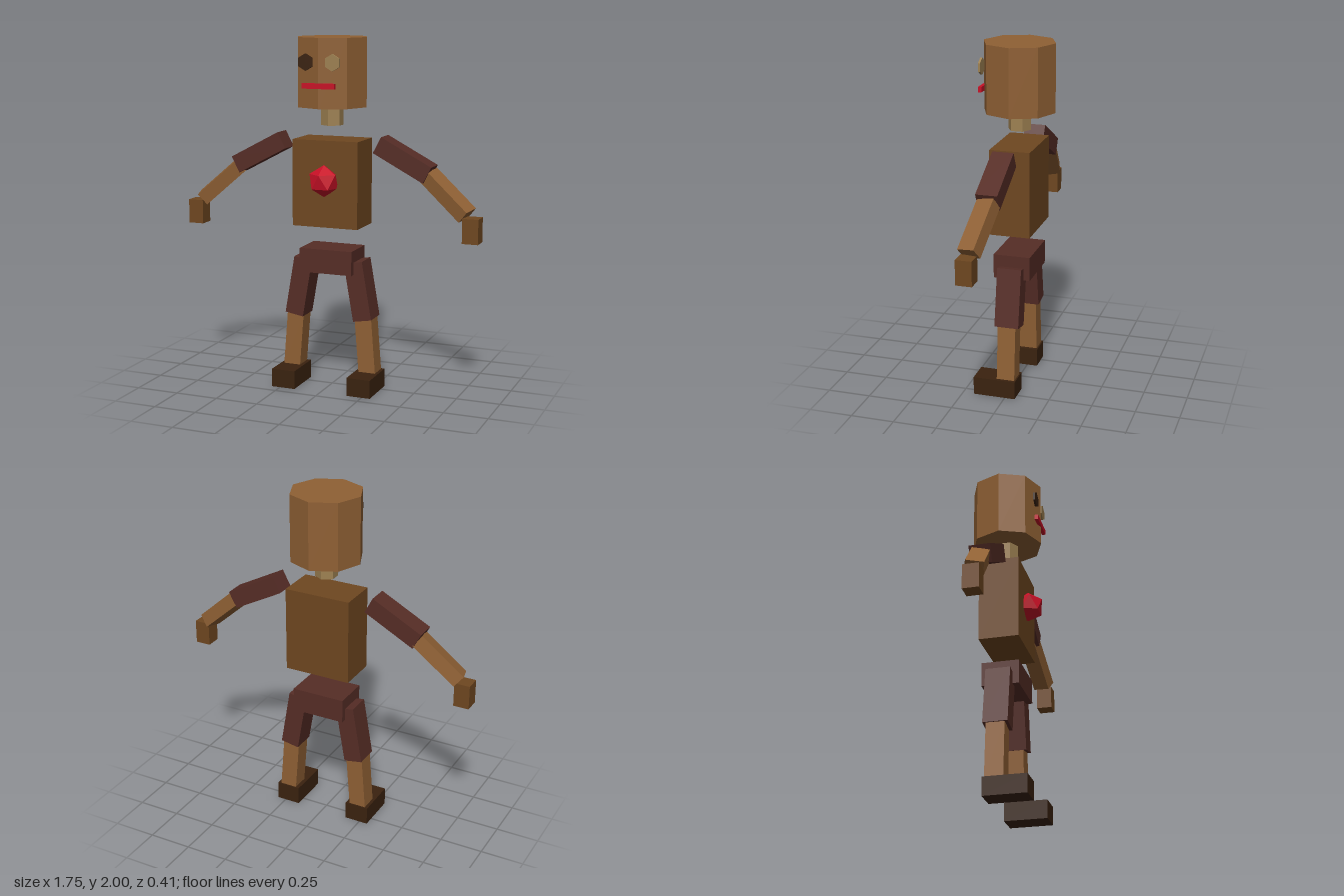
import * as THREE from 'three';

const paint = (name, color) => {
  const m = new THREE.MeshStandardMaterial({ color, flatShading: true });
  m.name = name;
  return m;
};

export function createModel() {
  const group = new THREE.Group();
  group.name = 'woodenPuppet';

  const wood = paint('light wood', 0x8f6034);
  const midWood = paint('mid wood', 0x6f4720);
  const darkWood = paint('dark wood', 0x3a220f);
  const paleWood = paint('pale wood', 0x9e8152);
  const maroon = paint('maroon', 0x562d26);
  const red = paint('red', 0xc81026);

  const add = (name, geometry, material, x, y, z) => {
    const mesh = new THREE.Mesh(geometry, material);
    mesh.name = name;
    mesh.position.set(x, y, z);
    group.add(mesh);
    return mesh;
  };
  const box = (name, material, w, h, d, x, y, z) =>
    add(name, new THREE.BoxGeometry(w, h, d), material, x, y, z);

  // Box running between two joints, its front face turned toward `front`
  const limb = (name, material, from, to, width, depth, front = [0, 0, 1]) => {
    const a = new THREE.Vector3(...from), b = new THREE.Vector3(...to);
    const dir = b.clone().sub(a);
    const length = dir.length();
    dir.normalize();
    const f = new THREE.Vector3(...front);
    f.addScaledVector(dir, -f.dot(dir)).normalize();
    const side = new THREE.Vector3().crossVectors(dir, f);
    const mid = a.add(b).multiplyScalar(0.5);
    const mesh = box(name, material, width, length, depth, mid.x, mid.y, mid.z);
    mesh.quaternion.setFromRotationMatrix(new THREE.Matrix4().makeBasis(side, dir, f));
  };

  // Head and neck
  add('head', new THREE.CylinderGeometry(0.205, 0.205, 0.385, 8), wood, 0, 1.8075, 0);
  add('neck', new THREE.CylinderGeometry(0.064, 0.064, 0.11, 6), paleWood, 0, 1.565, 0);

  // Face: mismatched eyes and a straight mouth
  const eye = new THREE.CylinderGeometry(0.047, 0.047, 0.012, 6).rotateX(Math.PI / 2);
  add('rightEye', eye, darkWood, -0.079, 1.868, 0.194);
  add('leftEye', eye, paleWood, 0.079, 1.868, 0.194);
  box('mouth', red, 0.19, 0.03, 0.02, 0, 1.74, 0.2);

  // Torso with a gem, one point of the gem straight up
  box('torso', midWood, 0.39, 0.49, 0.23, 0, 1.188, 0);
  const gem = new THREE.IcosahedronGeometry(0.09, 0)
    .rotateZ(Math.atan(2 / (1 + Math.sqrt(5))))
    .rotateY(Math.PI / 2);
  add('heartGem', gem, red, 0, 1.208, 0.125);

  box('pelvis', maroon, 0.314, 0.138, 0.212, 0, 0.744, 0);

  // Arms and legs
  for (const [label, s] of [['left', 1], ['right', -1]]) {
    limb(label + 'UpperArm', maroon, [s * 0.288, 1.415, 0], [s * 0.578, 1.262, 0], 0.102, 0.12);
    limb(label + 'Forearm', wood, [s * 0.567, 1.258, -0.003], [s * 0.8, 1.053, 0.03],
      0.08, 0.1, [s * -0.22, -0.15, 0.96]);
    box(label + 'Hand', midWood, 0.09, 0.138, 0.09, s * 0.831, 0.973, 0.034);

    limb(label + 'Thigh', maroon, [s * 0.152, 0.744, 0], [s * 0.209, 0.411, 0], 0.11, 0.14);
    limb(label + 'Shin', wood, [s * 0.207, 0.42, 0], [s * 0.233, 0.09, 0], 0.1, 0.104);
    box(label + 'Foot', darkWood, 0.14, 0.105, 0.245, s * 0.23, 0.0525, 0.0625);
  }
  return group;
}
